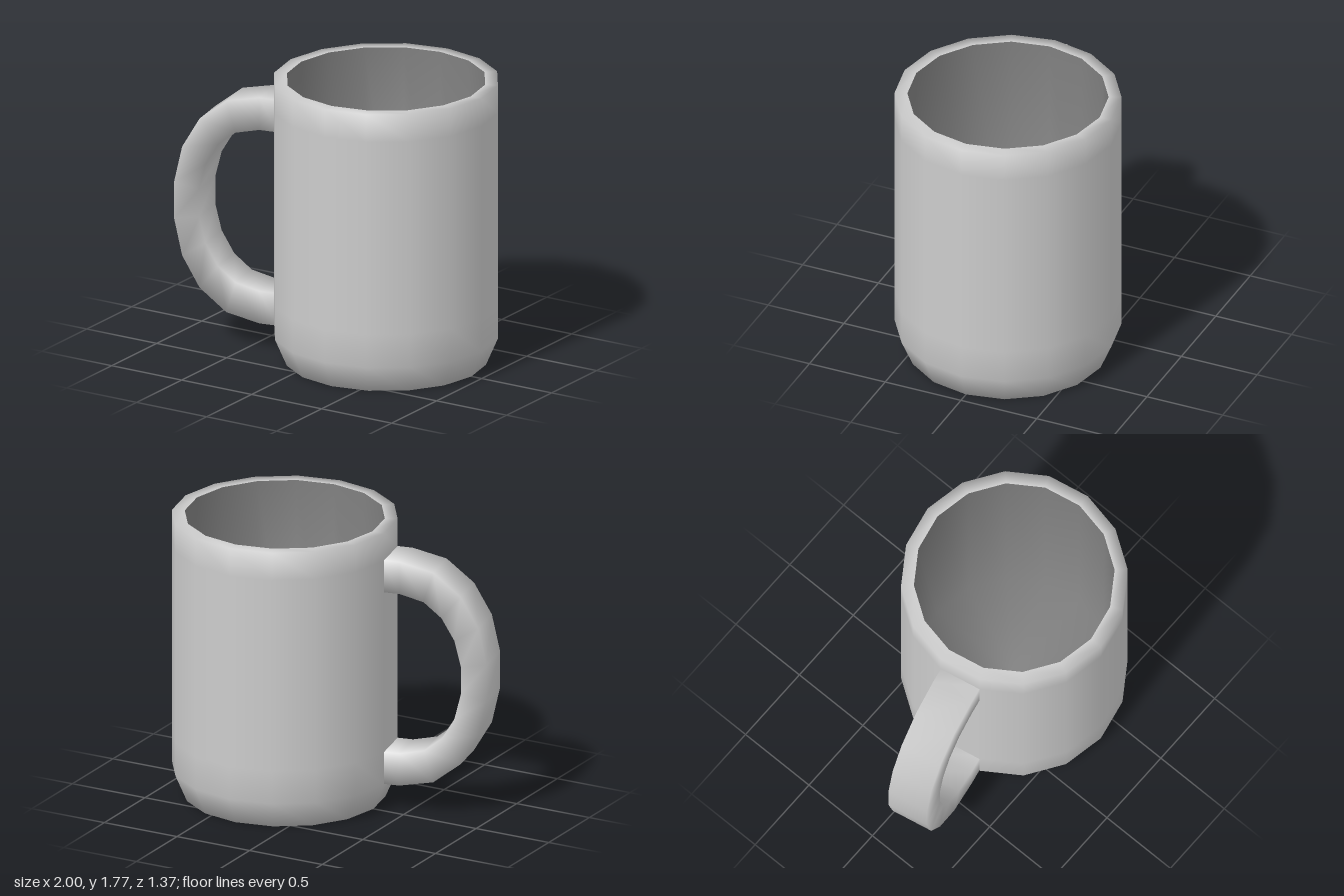
import * as THREE from 'three';

const SIDES = 16;
const CENTRE_X = 0.317;
const RADIUS = 0.683;

function lathe(name, points, material) {
  const profile = points.map(([r, y]) => new THREE.Vector2(r, y));
  const mesh = new THREE.Mesh(new THREE.LatheGeometry(profile, SIDES), material);
  mesh.name = name;
  return mesh;
}

// Four-sided tapered band swept through matching outer and inner points.
function handleGeometry(outer, inner, halfWidth) {
  const positions = [];
  const index = [];
  outer.forEach(([u, y], i) => {
    const [v, h] = inner[i];
    positions.push(-u, y, -halfWidth, -u, y, halfWidth, -v, h, halfWidth, -v, h, -halfWidth);
  });
  for (let i = 0; i < outer.length - 1; i++) {
    for (let k = 0; k < 4; k++) {
      const a = i * 4 + k, b = i * 4 + (k + 1) % 4;
      index.push(a, a + 4, b, b, a + 4, b + 4);
    }
  }
  const geometry = new THREE.BufferGeometry();
  geometry.setAttribute('position', new THREE.Float32BufferAttribute(positions, 3));
  geometry.setIndex(index);
  geometry.computeVertexNormals();
  return geometry;
}

export function createModel() {
  const glaze = new THREE.MeshStandardMaterial({ color: 0xcccccc });
  glaze.name = 'light grey glaze';
  const lining = new THREE.MeshStandardMaterial({ color: 0x808080 });
  lining.name = 'grey lining';

  const mug = new THREE.Group();
  mug.name = 'mug';

  // Outer wall with bevelled foot and flat rim
  const body = lathe('body', [
    [0, 0], [0.61, 0], [RADIUS, 0.17], [RADIUS, 0.38],
    [RADIUS, 1.4], [RADIUS, 1.6], [RADIUS, 1.775], [0.605, 1.775],
  ], glaze);

  // Inner wall and floor
  const inside = lathe('inside', [[0.605, 1.775], [0.605, 0.1], [0, 0.1]], lining);

  // Handle: upper half of each edge, mirrored about its middle height
  const middle = 0.887;
  const mirror = (half) => [...half, ...half.slice().reverse().map(([u, y]) => [u, 2 * middle - y])];
  const outer = mirror([[0.65, 1.602], [0.766, 1.602], [0.98, 1.557], [1.153, 1.422], [1.265, 1.232], [1.317, 1.003]]);
  const inner = mirror([[0.65, 1.398], [0.768, 1.398], [0.92, 1.362], [1.033, 1.272], [1.114, 1.137], [1.155, 0.974]]);
  const handle = new THREE.Mesh(handleGeometry(outer, inner, 0.1325), glaze);
  handle.name = 'handle';
  handle.rotation.y = Math.PI / SIDES; // centred on one wall facet

  for (const part of [body, inside, handle]) {
    part.position.x = CENTRE_X;
    mug.add(part);
  }
  return mug;
}
